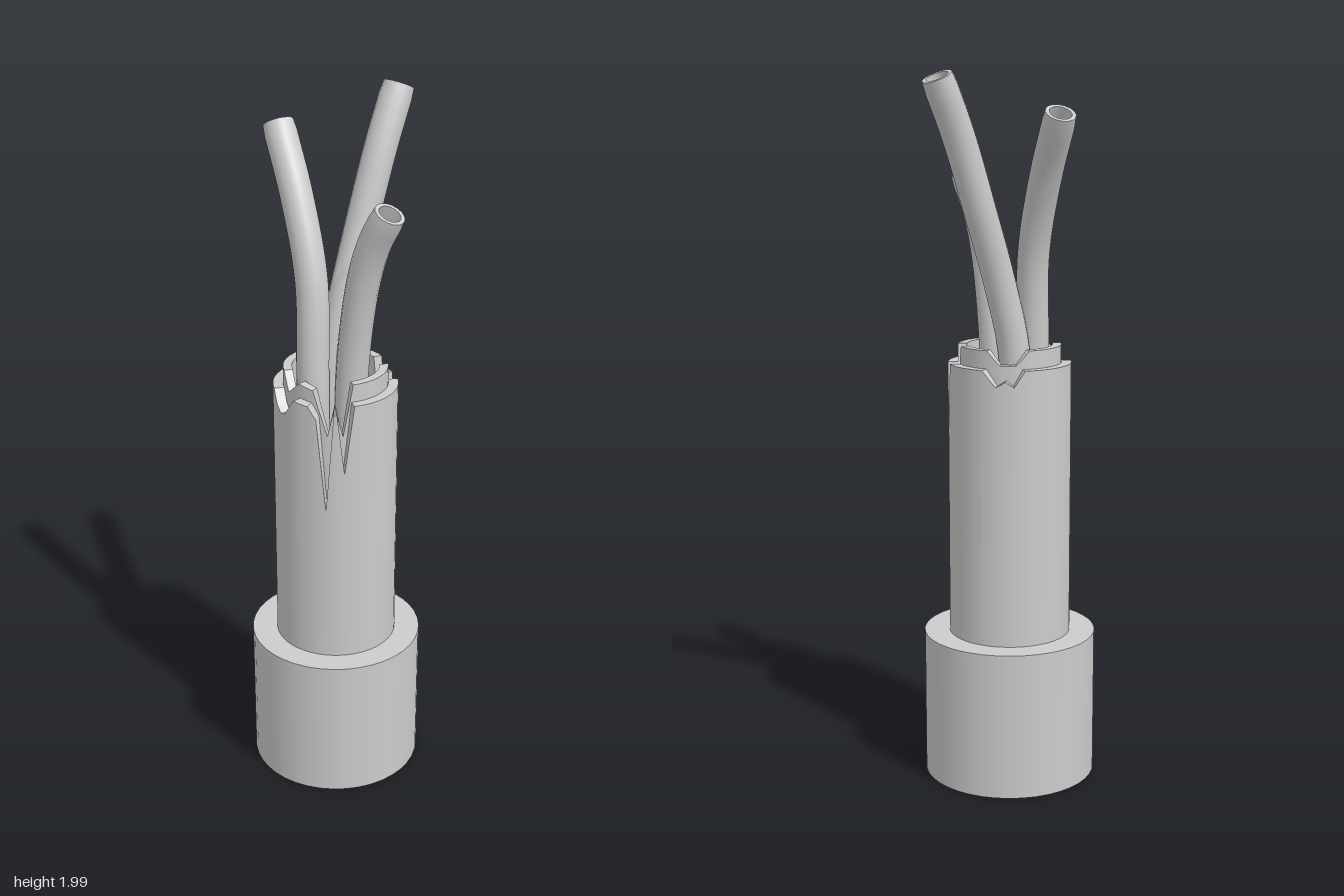
import * as THREE from 'three';
import { toCreasedNormals } from 'three/addons/utils/BufferGeometryUtils.js';

const material = new THREE.MeshStandardMaterial({ color: 0xcccccc });
const CENTRE_Z = 0.02;

// Joins closed rows of points into a surface; each row is one loop around.
function loft(rows, crease = 0.6) {
  const n = rows[0].length, index = [];
  for (let i = 0; i < rows.length - 1; i++) {
    for (let j = 0; j < n; j++) {
      const a = i * n + j, b = i * n + (j + 1) % n;
      index.push(a, b, b + n, a, b + n, a + n);
    }
  }
  const g = new THREE.BufferGeometry().setFromPoints(rows.flat());
  g.setIndex(index);
  return toCreasedNormals(g, crease);
}

function add(group, name, geometry) {
  const mesh = new THREE.Mesh(geometry, material);
  mesh.name = name;
  group.add(mesh);
  return mesh;
}

// Tube wall whose torn top edge follows [degrees from front, height] points.
function tornSleeve(outer, inner, bottom, edge) {
  const pts = [[-180, edge[0][1]], ...edge, [180, edge[0][1]]];
  const angles = new Set(edge.map(p => p[0]));
  for (let a = -180; a < 180; a += 9) angles.add(a);
  const sorted = [...angles].sort((a, b) => a - b);
  const height = a => {
    const k = Math.max(1, pts.findIndex(p => p[0] >= a));
    const [a0, y0] = pts[k - 1], [a1, y1] = pts[k];
    return a1 === a0 ? y1 : y0 + (y1 - y0) * (a - a0) / (a1 - a0);
  };
  const row = (r, y) => sorted.map(a => {
    const t = THREE.MathUtils.degToRad(a);
    return new THREE.Vector3(r * Math.sin(t), y ?? height(a), r * Math.cos(t));
  });
  return loft([row(outer, bottom), row(outer), row(inner), row(inner, bottom)]);
}

// Bent wire with a rounded rim and a hollow end.
function wire(points) {
  const curve = new THREE.CatmullRomCurve3(points.map(p => new THREE.Vector3(...p)));
  const N = 30, SIDES = 16;
  const frames = curve.computeFrenetFrames(N);
  const row = (i, r) => {
    const c = curve.getPointAt(i / N);
    return Array.from({ length: SIDES }, (_, j) => {
      const t = j / SIDES * Math.PI * 2;
      return c.clone()
        .addScaledVector(frames.normals[i], r * Math.cos(t))
        .addScaledVector(frames.binormals[i], r * Math.sin(t));
    });
  };
  const rows = [];
  for (let i = 0; i < N; i++) rows.push(row(i, 0.045));
  rows.push(row(N, 0.042), row(N, 0.031));
  for (let i = N - 1; i >= N - 4; i--) rows.push(row(i, 0.03));
  rows.push(row(N - 4, 0.0001));
  return loft(rows, 0.9);
}

export function createModel() {
  const model = new THREE.Group();
  model.name = 'cutCable';

  // Base collar
  const base = add(model, 'base', new THREE.CylinderGeometry(0.245, 0.245, 0.42, 40));
  base.position.set(0, 0.21, CENTRE_Z);

  // Outer jacket with two deep slits in front, one behind and small chips
  const jacket = add(model, 'jacket', tornSleeve(0.173, 0.145, 0.41, [
    [-170, 1.2], [-157, 1.155], [-148, 1.17], [-140, 1.155], [-130, 1.2],
    [-46, 1.2], [-38, 1.165], [-30, 1.145], [-24, 1.15], [-12, 1.2],
    [3, 1.195], [11, 1.16], [20, 0.885], [27, 1.17], [30, 1.18], [37, 1.0], [46, 1.2],
    [126, 1.2], [135, 1.01], [143, 1.2],
  ]));
  jacket.position.z = CENTRE_Z;

  // Inner lining, standing a little above the jacket
  const lining = add(model, 'lining', tornSleeve(0.1445, 0.12, 0.8, [
    [-170, 1.25], [-155, 1.21], [-137, 1.21], [-122, 1.25],
    [-46, 1.25], [-32, 1.2], [-14, 1.24], [4, 1.23],
    [20, 1.1], [28, 1.19], [37, 1.1], [48, 1.25],
    [122, 1.25], [135, 1.12], [147, 1.25],
  ]));
  lining.position.z = CENTRE_Z;

  // Floor inside the lining
  const core = add(model, 'core', new THREE.CylinderGeometry(0.121, 0.121, 0.1, 40));
  core.position.set(0, 0.95, CENTRE_Z);

  // Three wires
  add(model, 'backWire', wire([
    [-0.025, 0.98, 0.02], [-0.02, 1.22, 0.015], [0, 1.42, -0.025],
    [0.018, 1.62, -0.09], [0.04, 1.82, -0.155], [0.056, 1.975, -0.225],
  ]));
  add(model, 'rightWire', wire([
    [-0.035, 0.98, 0.085], [-0.036, 1.25, 0.083], [-0.052, 1.5, 0.06],
    [-0.115, 1.7, 0.02], [-0.207, 1.882, -0.04],
  ]));
  add(model, 'leftWire', wire([
    [0.045, 0.98, 0.02], [0.053, 1.25, 0.022], [0.09, 1.5, 0.035],
    [0.127, 1.62, 0.043], [0.176, 1.713, 0.052],
  ]));

  return model;
}
